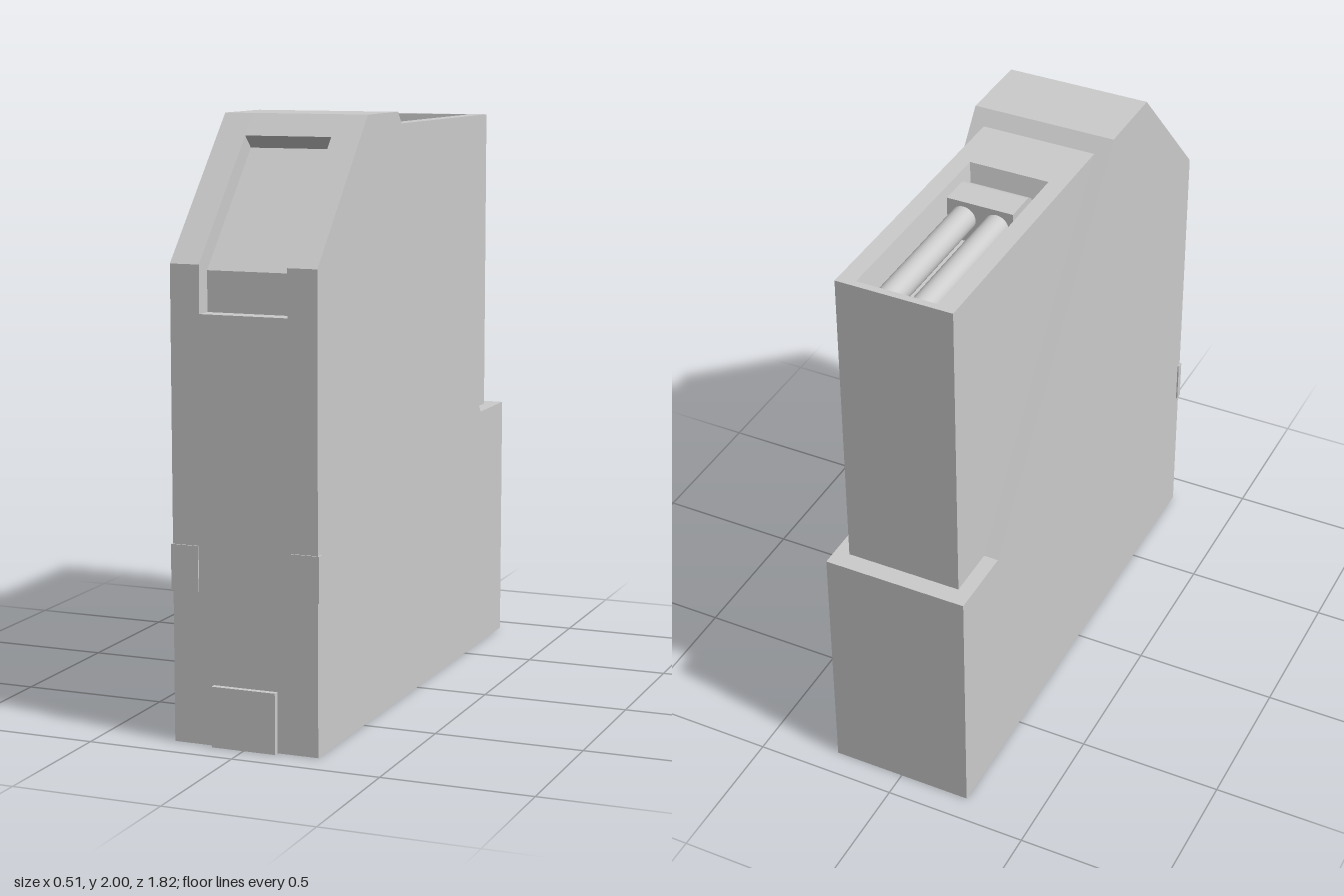
import * as THREE from 'three';

const material = new THREE.MeshStandardMaterial({ color: 0xcccccc, flatShading: true });
const smooth = new THREE.MeshStandardMaterial({ color: 0xcccccc });

// Extrude a (z, y) side profile across x, from x0 to x1
function sideExtrude(points, x0, x1) {
  const shape = new THREE.Shape(points.map(([z, y]) => new THREE.Vector2(z, y)));
  const geo = new THREE.ExtrudeGeometry(shape, { depth: x1 - x0, bevelEnabled: false });
  return geo.translate(0, 0, -x1).rotateY(-Math.PI / 2);
}

function boxBetween(x0, x1, y0, y1, z0, z1) {
  return new THREE.BoxGeometry(x1 - x0, y1 - y0, z1 - z0)
    .translate((x0 + x1) / 2, (y0 + y1) / 2, (z0 + z1) / 2);
}

// Skin a stack of rectangular rings [halfWidth, y, zBack, zFront] and cap the last one
function rectLoft(rings) {
  const loops = rings.map(([w, y, zb, zf]) => [[-w, y, zf], [w, y, zf], [w, y, zb], [-w, y, zb]]);
  const pos = [];
  const quad = (a, b, c, d) => pos.push(...a, ...b, ...c, ...a, ...c, ...d);
  for (let r = 0; r < loops.length - 1; r++) {
    for (let i = 0; i < 4; i++) {
      const j = (i + 1) % 4;
      quad(loops[r][i], loops[r][j], loops[r + 1][j], loops[r + 1][i]);
    }
  }
  quad(...loops[loops.length - 1]);
  const geo = new THREE.BufferGeometry();
  geo.setAttribute('position', new THREE.Float32BufferAttribute(pos, 3));
  geo.computeVertexNormals();
  return geo;
}

export function createModel() {
  const model = new THREE.Group();
  const add = (name, geo, mat = material, parent = model) => {
    const mesh = new THREE.Mesh(geo, mat);
    mesh.name = name;
    parent.add(mesh);
    return mesh;
  };

  // Body: two side slabs and a centre slab with the front window recess
  const body = new THREE.Group();
  body.name = 'body';
  model.add(body);
  const back = [[0.47, 2], [0.2, 2], [-0.66, 0.875], [-0.91, 0.875], [-0.91, 0]];
  const outline = [[0.89, 0], [0.89, 1.545], ...back];
  const recessed = [[0.89, 0], [0.89, 1.39], [0.83, 1.39], [0.83, 1.522],
    [0.491, 1.889], [0.535, 1.93], ...back];
  add('bodySideRight', sideExtrude(outline, -0.25, -0.15), material, body);
  add('bodyCentre', sideExtrude(recessed, -0.15, 0.15), material, body);
  add('bodySideLeft', sideExtrude(outline, 0.15, 0.25), material, body);

  // Inserted case with a tapered open well in its top
  add('innerCase', rectLoft([
    [0.2, 0.86, -0.845, 0.16],
    [0.2, 1.955, -0.845, 0.16],
    [0.14, 1.955, -0.82, -0.06],
    [0.117, 1.8, -0.8, -0.1],
  ]));

  // Two rods lying in the well
  for (const x of [-0.058, 0.058]) {
    const rod = new THREE.CylinderGeometry(0.043, 0.043, 0.545, 32)
      .rotateX(Math.PI / 2).translate(x, 1.885, -0.538);
    add(x < 0 ? 'rodRight' : 'rodLeft', rod, smooth);
  }

  // Cross bar in front of the rods, rounded along its front edge
  const bar = [[-0.27, 1.8], [-0.13, 1.8], [-0.13, 1.91]];
  for (let i = 1; i <= 6; i++) {
    const a = (i / 6) * Math.PI / 2;
    bar.push([-0.17 + 0.04 * Math.cos(a), 1.91 + 0.035 * Math.sin(a)]);
  }
  bar.push([-0.27, 1.945]);
  add('crossBar', sideExtrude(bar, -0.116, 0.116));

  // Thin grip tabs wrapping the front corners, and the foot tab
  add('cornerTabRight', boxBetween(-0.255, -0.16, 0.5, 0.65, 0.87, 0.895));
  add('cornerTabLeft', boxBetween(0.16, 0.255, 0.5, 0.65, 0.87, 0.895));
  add('footTab', boxBetween(-0.11, 0.11, 0, 0.2, 0.87, 0.91));

  return model;
}
